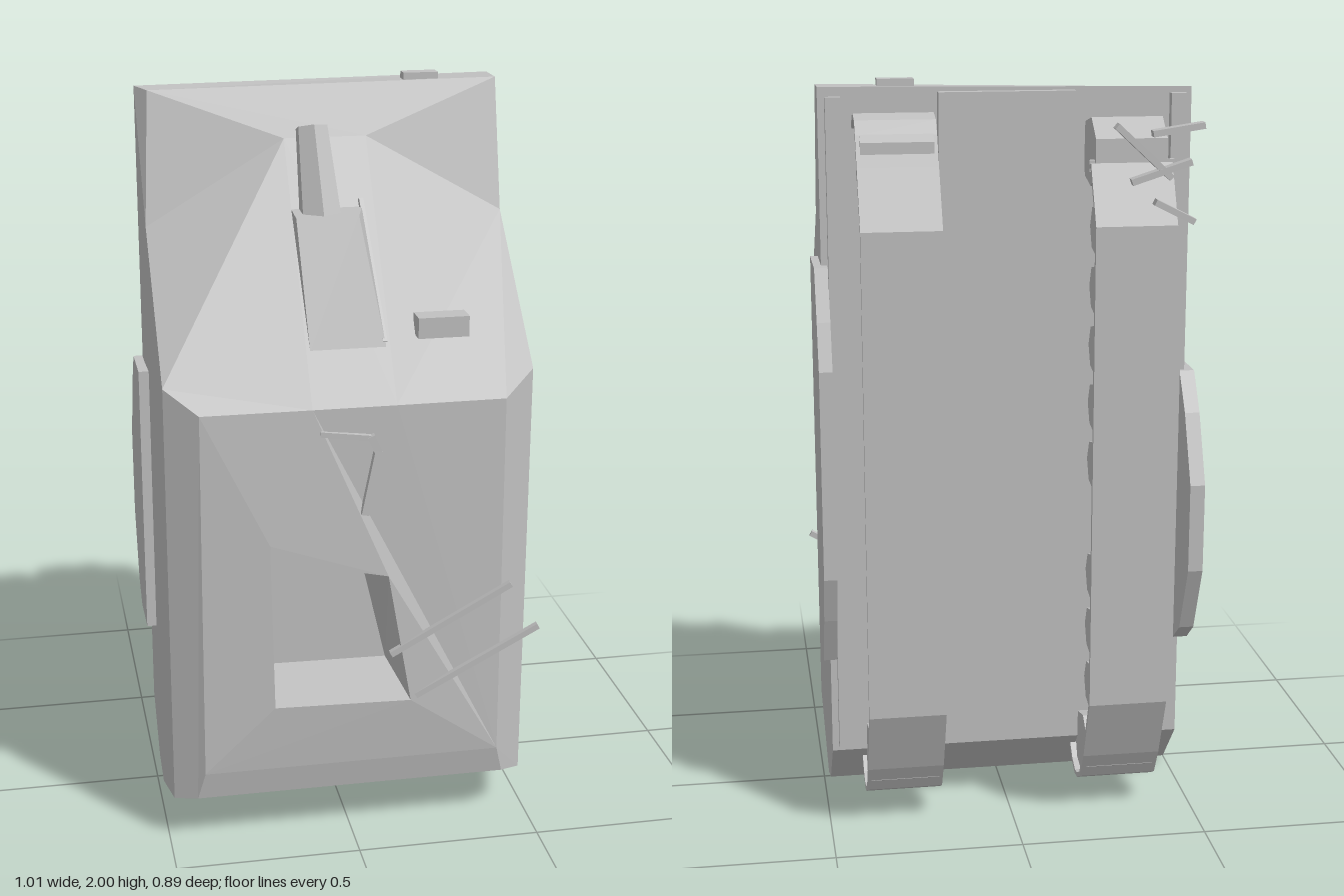
import * as THREE from 'three';

const metal = new THREE.MeshStandardMaterial({ color: 0xc0c0c0 });
metal.name = 'bare grey';
metal.side = THREE.DoubleSide;

const V = (a) => new THREE.Vector3(...a);

// Collects flat polygons; each is turned to face the given outward direction.
class Faces {
  constructor() { this.pos = []; }
  add(out, pts, hole = []) {
    const o = out.map(Math.abs);
    const drop = o.indexOf(Math.max(...o));
    const flat = (p) => new THREE.Vector2(...p.filter((_, i) => i !== drop));
    const all = [...pts, ...hole];
    const contour = pts.map(flat);
    const tris = THREE.ShapeUtils.triangulateShape(contour, hole.length ? [hole.map(flat)] : []);
    for (const t of tris) {
      const [a, b, c] = t.map((i) => V(all[i]));
      const n = b.clone().sub(a).cross(c.clone().sub(a));
      for (const p of n.dot(V(out)) < 0 ? [a, c, b] : [a, b, c]) this.pos.push(p.x, p.y, p.z);
    }
  }
  mesh(name) {
    const g = new THREE.BufferGeometry();
    g.setAttribute('position', new THREE.Float32BufferAttribute(this.pos, 3));
    g.computeVertexNormals();
    return named(g, name);
  }
}

function named(geometry, name) {
  const m = new THREE.Mesh(geometry, metal);
  m.name = name;
  return m;
}

function box(name, x0, x1, y0, y1, z0, z1) {
  const m = named(new THREE.BoxGeometry(x1 - x0, y1 - y0, z1 - z0), name);
  m.position.set((x0 + x1) / 2, (y0 + y1) / 2, (z0 + z1) / 2);
  return m;
}

// Square bar running from a to b
function bar(name, a, b, w, d = w) {
  const p = V(a), q = V(b);
  const m = named(new THREE.BoxGeometry(w, d, p.distanceTo(q)), name);
  m.position.copy(p).add(q).multiplyScalar(0.5);
  m.lookAt(q);
  return m;
}

// Outline of [z, y] points extruded along x
function slab(name, outline, x0, x1) {
  const s = new THREE.Shape(outline.map(([z, y]) => new THREE.Vector2(-z, y)));
  const g = new THREE.ExtrudeGeometry(s, { depth: x1 - x0, bevelEnabled: false });
  g.rotateY(Math.PI / 2).translate(x0, 0, 0);
  return named(g, name);
}

function hull() {
  const f = new Faces();
  const half = (s) => ({
    shoulder: [s * 0.485, 1.3, 0.345],
    kink: s > 0 ? [0.485, 1.64, -0.02] : [-0.48, 1.63, -0.03],
    nose: s > 0 ? [0.485, 1.985, -0.11] : [-0.455, 1.97, -0.15],
    noseLow: [s * 0.485, s > 0 ? 1.985 : 1.975, -0.2],
    tailLow: [s * 0.485, 0.17, -0.2],
    tail: [s * 0.485, 0.03, -0.07],
    tip: [s * 0.485, 0, 0.03],
    tailHigh: [s * 0.485, 0.125, 0.345],
    ridge: [s * 0.11, 1.855, -0.018],
    ridgeLow: [s * 0.11, 1.24, 0.402],
    corner: [s * 0.4, 1.24, 0.4],
    rear: [s * 0.405, 0.22, 0.4],
    rearLow: [s * 0.425, 0.14, 0.385],
  });
  const R = half(1), L = half(-1);
  for (const [s, h] of [[1, R], [-1, L]]) {
    f.add([s, 0, 0], [h.shoulder, h.kink, h.nose, h.noseLow, h.tailLow, h.tail, h.tip, h.tailHigh]);
    f.add([0, 0, 1], [h.nose, h.ridge, h.kink]);
    f.add([0, 0, 1], [h.kink, h.ridge, h.ridgeLow, h.corner, h.shoulder]);
    f.add([s * 0.9, 0, 1], [h.corner, h.shoulder, h.tailHigh, h.rearLow, h.rear]);
  }
  const across = (out, ...keys) =>
    f.add(out, [...keys.map((k) => R[k]), ...keys.reverse().map((k) => L[k])]);
  across([0, 1, 0], 'nose', 'noseLow');
  across([0, 0, 1], 'nose', 'ridge');
  across([0, 0, 1], 'ridge', 'ridgeLow');
  across([0, 0, 1], 'rear', 'rearLow');
  across([0, -1, 0.5], 'rearLow', 'tailHigh', 'tip');
  across([0, -1, -0.3], 'tip', 'tail');
  across([0, -1, -0.9], 'tail', 'tailLow');
  across([0, 0, -1], 'tailLow', 'noseLow');

  // deck bulging slightly around a sunken, empty well
  const rim = [[-0.225, 0.88], [0, 0.79], [0.09, 0.77], [0.155, 0.4], [-0.215, 0.41]]
    .map(([x, y]) => [x, y, 0.416]);
  const floor = [[-0.19, 0.825], [0, 0.745], [0.06, 0.73], [0.13, 0.43], [-0.2, 0.435]]
    .map(([x, y]) => [x, y, 0.2]);
  f.add([0, 0, 1], [R.corner, R.ridgeLow, L.ridgeLow, L.corner, L.rear, R.rear], rim);
  f.add([0, 0, 1], floor);
  rim.forEach((p, i) => {
    const j = (i + 1) % rim.length, q = rim[j];
    f.add([q[1] - p[1], p[0] - q[0], 0], [p, q, floor[j], floor[i]]);
  });
  return f.mesh('hull');
}

// Wedge-shaped mount sitting on the sloping bow
function gunMount() {
  const f = new Faces();
  const a = [-0.115, 1.69, 0.2], b = [0.05, 1.69, 0.195], c = [0.08, 1.69, 0.09], d = [-0.11, 1.69, 0.09];
  const e = [-0.1, 1.365, 0.315], g = [0.1, 1.365, 0.315];
  f.add([0, 1, 0], [a, b, c, d]);
  f.add([0, 0, 1], [a, b, g, e]);
  f.add([1, 0, 0], [b, c, g]);
  f.add([-1, 0, 0], [a, d, e]);
  f.add([0, 0, -1], [c, d, e, g]);
  return f.mesh('gunMount');
}

// Six-sided hollow barrel
function gunBarrel() {
  const profile = [[0.058, 0], [0.044, 0.24], [0.028, 0.24], [0.028, 0.1], [0, 0.1]]
    .map((p) => new THREE.Vector2(...p));
  const g = new THREE.LatheGeometry(profile, 6).toNonIndexed();
  g.computeVertexNormals();
  const m = named(g, 'gunBarrel');
  m.position.set(-0.04, 1.67, 0.135);
  m.quaternion.setFromUnitVectors(V([0, 1, 0]), V([-0.01, 0.235, -0.08]).normalize());
  return m;
}

// Thin open band following [z, y] points
function trackBand(path, x0, x1) {
  const t = 0.013;
  const inner = path.map(([z, y], i) => {
    const p = path[Math.max(i - 1, 0)], q = path[Math.min(i + 1, path.length - 1)];
    const dz = q[0] - p[0], dy = q[1] - p[1], l = Math.hypot(dz, dy);
    return [z - (dy / l) * -t, y - (dz / l) * t];
  });
  // the inner edge lies toward the hull
  const fixed = inner.map(([z, y], i) => [2 * path[i][0] - z, 2 * path[i][1] - y]);
  const mid = Math.floor(path.length / 2);
  const ring = inner[mid][0] > path[mid][0] ? inner : fixed;
  return slab('trackBand', [...path, ...ring.slice().reverse()], x0, x1);
}

function wheel(x, y, z, r) {
  const g = new THREE.CylinderGeometry(r, r, 0.185, 7).toNonIndexed();
  g.rotateZ(Math.PI / 2);
  g.computeVertexNormals();
  const m = named(g, 'wheel');
  m.position.set(x, y, z);
  return m;
}

export function createModel() {
  const model = new THREE.Group();
  model.name = 'wreckedTank';
  model.add(hull(), gunMount(), gunBarrel());

  // Small fittings on bow and nose
  model.add(
    box('bowHatch', 0.185, 0.32, 1.385, 1.44, 0.25, 0.31),
    box('noseTab', 0.235, 0.33, 1.97, 2.0, -0.165, -0.125),
    bar('mountFin', [0.075, 1.71, 0.09], [0.097, 1.38, 0.305], 0.012),
  );

  // Belly slab and edge rails
  model.add(box('bellySlab', -0.175, 0.18, 0.19, 1.97, -0.23, -0.19));
  for (const s of [-1, 1]) {
    const x = s * 0.447;
    model.add(box('bellyRail', x - 0.02, x + 0.02, 0.19, 1.96, -0.225, -0.19));
  }

  // Side skirts, the one on -x shorter
  model.add(slab('sideSkirt', [[-0.055, 1.53], [-0.24, 1.53], [-0.3, 1.4], [-0.345, 1.28],
    [-0.345, 0.72], [-0.3, 0.59], [-0.24, 0.455], [-0.055, 0.455]], 0.47, 0.505));
  model.add(slab('sideSkirt', [[-0.06, 1.22], [-0.21, 1.22], [-0.28, 1.12], [-0.36, 0.94],
    [-0.36, 0.7], [-0.28, 0.51], [-0.21, 0.455], [-0.06, 0.455]], -0.51, -0.47));

  // Tracks, the one on -x torn off at the bow
  const low = [[-0.36, 1.8], [-0.435, 1.65], [-0.435, 0.36], [-0.36, 0.18], [-0.315, 0.1],
    [-0.275, 0.078], [-0.24, 0.073], [-0.195, 0.092], [-0.155, 0.13]];
  const bow = [[-0.2, 1.89], [-0.225, 1.915], [-0.255, 1.923], [-0.3, 1.91], [-0.325, 1.875]];
  model.add(trackBand([...bow, ...low], 0.195, 0.4));
  model.add(trackBand([[-0.325, 1.79], ...low], -0.4, -0.19));

  // Road wheels, a few lost
  const lost = { 1: [2, 6], '-1': [5] };
  for (const s of [1, -1]) {
    const x = s * 0.297;
    for (let i = 0; i < 9; i++) {
      if (!lost[s].includes(i)) model.add(wheel(x, 1.63 - i * 0.1555, -0.35, 0.066));
    }
    model.add(wheel(x, 1.82, -0.265, 0.09), wheel(x, 0.175, -0.255, 0.09));
  }

  // Torn track links
  model.add(
    bar('tornLink', [-0.46, 1.9, -0.435], [-0.33, 1.88, -0.43], 0.035, 0.016),
    bar('tornLink', [-0.24, 1.9, -0.425], [-0.38, 1.77, -0.43], 0.035, 0.016),
    bar('tornLink', [-0.28, 1.76, -0.425], [-0.43, 1.81, -0.435], 0.035, 0.016),
    bar('tornLink', [-0.34, 1.71, -0.43], [-0.44, 1.66, -0.435], 0.035, 0.016),
    bar('tornLink', [-0.41, 1.79, -0.332], [-0.19, 1.79, -0.332], 0.012, 0.03),
  );

  // Loose rods and a bent strip on the deck
  model.add(
    bar('looseRod', [0.1, 0.54, 0.41], [0.42, 0.73, 0.432], 0.016),
    bar('looseRod', [0.17, 0.41, 0.408], [0.5, 0.6, 0.43], 0.016),
    bar('bentStrip', [-0.09, 1.175, 0.403], [0.04, 1.16, 0.411], 0.014),
    bar('bentStrip', [0.04, 1.165, 0.411], [0.06, 1.12, 0.412], 0.02),
    bar('bentStrip', [0.06, 1.125, 0.412], [0.025, 0.95, 0.412], 0.02),
  );
  return model;
}
